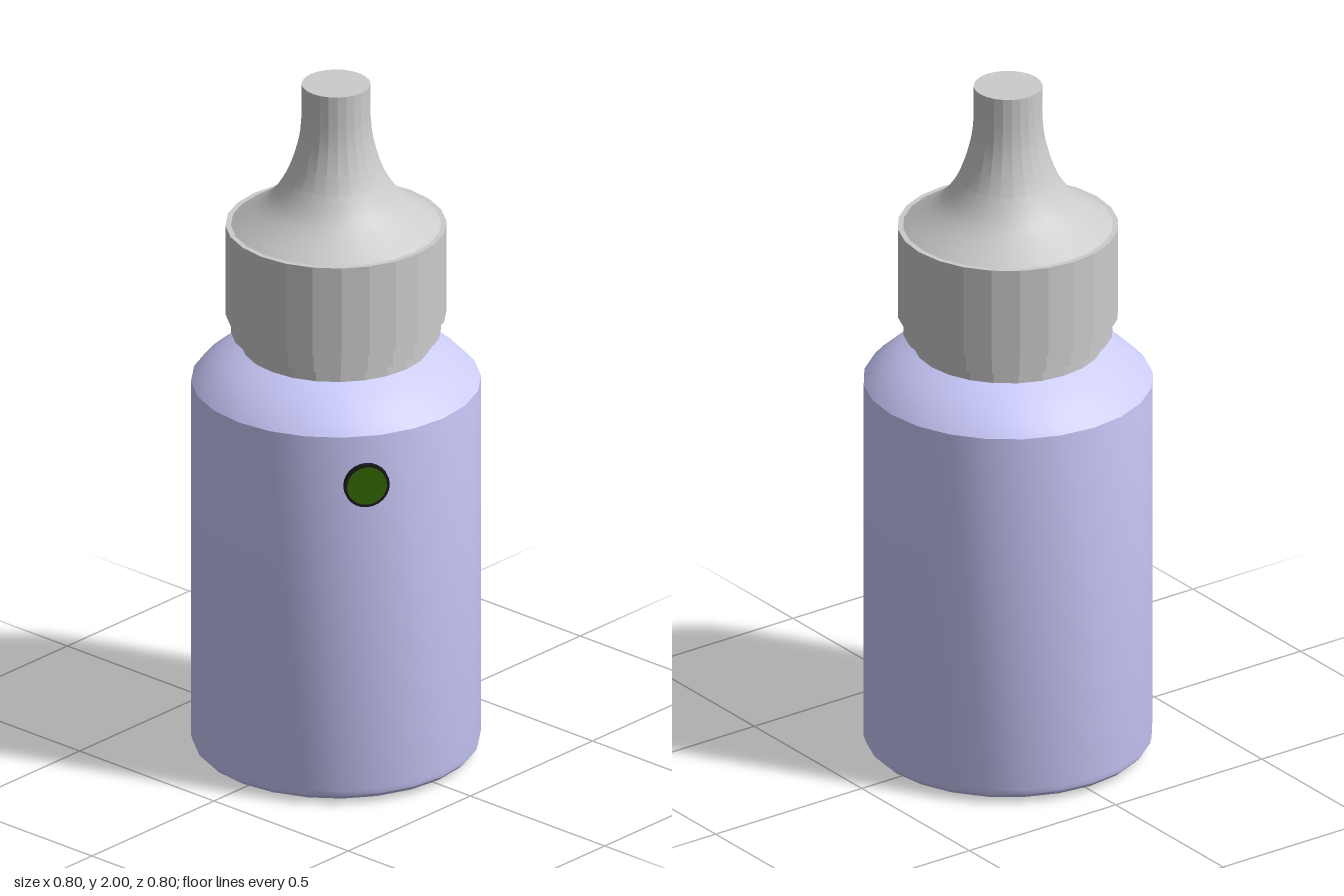
import * as THREE from 'three';
import { toCreasedNormals } from 'three/addons/utils/BufferGeometryUtils.js';

const material = (color) => new THREE.MeshStandardMaterial({ color });
const grey = material(0xcccccc);
const lilac = material(0xccccff);
const black = material(0x1a1a1a);
const green = material(0x336600);

// Revolve [radius, height] pairs, listed from bottom to top, with 24 sides.
function turned(name, profile, mat, crease) {
  const points = profile.map(([r, y]) => new THREE.Vector2(r, y));
  const geometry = toCreasedNormals(new THREE.LatheGeometry(points, 24), crease);
  const mesh = new THREE.Mesh(geometry, mat);
  mesh.name = name;
  return mesh;
}

function disc(name, radius, thickness, mat) {
  const geometry = new THREE.CylinderGeometry(radius, radius, thickness, 24);
  const mesh = new THREE.Mesh(geometry.rotateX(Math.PI / 2), mat);
  mesh.name = name;
  return mesh;
}

export function createModel() {
  const model = new THREE.Group();
  model.name = 'dropperBottle';

  // Bottle with rounded base and domed shoulder
  model.add(turned('bottleBody', [
    [0, 0], [0.34, 0], [0.363, 0.004], [0.382, 0.013], [0.395, 0.026], [0.4, 0.043],
    [0.4, 1.11], [0.375, 1.138], [0.342, 1.167], [0.305, 1.193], [0.262, 1.216], [0, 1.216],
  ], lilac, 0.48));

  // Neck and tamper ring under the cap
  model.add(turned('neck', [[0, 1.21], [0.262, 1.21], [0.262, 1.257], [0, 1.257]], grey, 0.25));
  model.add(turned('tamperRing', [[0, 1.256], [0.29, 1.256], [0.29, 1.311], [0, 1.311]], grey, 0.25));

  // Cap collar with a narrow flat rim
  model.add(turned('capCollar', [[0, 1.31], [0.305, 1.31], [0.305, 1.578], [0, 1.578]], grey, 0.25));

  // Concave nozzle
  const flare = new THREE.SplineCurve([
    [0.29, 1.578], [0.2, 1.64], [0.155, 1.695], [0.125, 1.757], [0.102, 1.84], [0.095, 1.91],
  ].map(([r, y]) => new THREE.Vector2(r, y)));
  const nozzleProfile = flare.getPoints(14).map((p) => [p.x, p.y]);
  model.add(turned('nozzle', [...nozzleProfile, [0.095, 2], [0, 2]], grey, 0.25));

  // Round badge on the front left side of the bottle
  const badge = new THREE.Group();
  badge.name = 'badge';
  const face = disc('badgeFace', 0.056, 0.004, green);
  face.position.z = 0.007;
  badge.add(disc('badgeRim', 0.064, 0.015, black), face);
  badge.position.set(0.327, 0.965, 0.235);
  badge.rotation.y = Math.atan2(0.8, 0.6);
  model.add(badge);

  return model;
}
